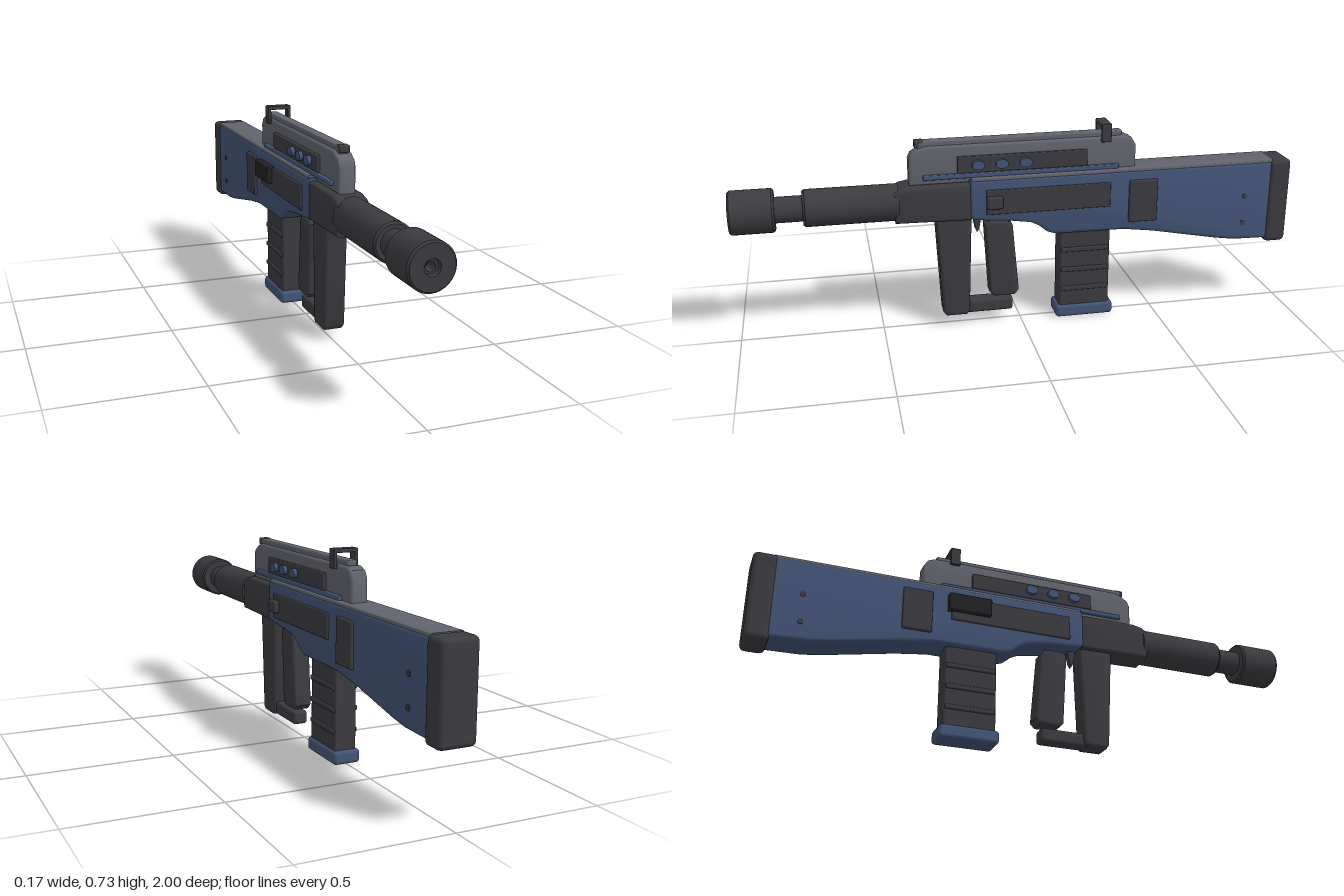
import * as THREE from 'three';
import { toCreasedNormals } from 'three/addons/utils/BufferGeometryUtils.js';
import { RoundedBoxGeometry } from 'three/addons/geometries/RoundedBoxGeometry.js';

const material = (name, color) => {
  const m = new THREE.MeshStandardMaterial({ color });
  m.name = name;
  return m;
};

export function createModel() {
  const model = new THREE.Group();
  model.name = 'rifle';
  const dark = material('charcoal', 0x3c3b40);
  const blue = material('slate blue', 0x435578);
  const grey = material('grey', 0x62646e);
  const black = material('black', 0x222225);

  const add = (name, geometry, mat) => {
    const mesh = new THREE.Mesh(geometry, mat);
    mesh.name = name;
    model.add(mesh);
    return mesh;
  };

  // Rounded box given by its limits on each axis
  const box = (name, mat, [x0, x1], [y0, y1], [z0, z1], r = 0.005) => {
    const g = new RoundedBoxGeometry(x1 - x0, y1 - y0, z1 - z0, 2, r);
    g.translate((x0 + x1) / 2, (y0 + y1) / 2, (z0 + z1) / 2);
    return add(name, g, mat);
  };

  // Side outline of [z, y] points, extruded across x with rounded edges
  const slab = (name, mat, points, half, bevel = 0.01) => {
    const shape = new THREE.Shape(points.map(([z, y]) => new THREE.Vector2(z, y)));
    const g = new THREE.ExtrudeGeometry(shape, {
      depth: 2 * (half - bevel), bevelEnabled: true, bevelThickness: bevel,
      bevelSize: bevel, bevelOffset: -bevel, bevelSegments: 3,
    });
    g.translate(0, 0, bevel - half);
    g.rotateY(-Math.PI / 2);
    return add(name, toCreasedNormals(g, 0.6), mat);
  };

  // Turned part along z from [radius, z] points
  const turned = (name, mat, points) => {
    const g = new THREE.LatheGeometry(points.map(([r, z]) => new THREE.Vector2(r, z)), 32);
    g.rotateX(Math.PI / 2);
    g.translate(0, 0.477, 0);
    return add(name, toCreasedNormals(g, 0.6), mat);
  };

  // Barrel
  turned('muzzle', dark, [[0, 0.848], [0.07, 0.848], [0.076, 0.855], [0.076, 0.993], [0.07, 1],
    [0.026, 1], [0.023, 0.985], [0.016, 0.985], [0.016, 0.94]]);
  turned('bore', black, [[0.017, 0.94], [0, 0.94]]);
  turned('barrel', dark, [[0, 0.74], [0.045, 0.74], [0.045, 0.85], [0, 0.85]]);
  turned('barrelSleeve', dark, [[0, 0.43], [0.065, 0.43], [0.065, 0.747], [0.059, 0.755], [0, 0.755]]);
  slab('handguard', dark, [[0.18, 0.408], [0.445, 0.413], [0.45, 0.52], [0.425, 0.535],
    [0.39, 0.542], [0.18, 0.542]], 0.056, 0.012);

  // Receiver and stock
  slab('body', blue, [[0.185, 0.42], [0.175, 0.408], [0.05, 0.397], [-0.03, 0.385], [-0.06, 0.37],
    [-0.09, 0.345], [-0.12, 0.335], [-0.37, 0.333], [-0.48, 0.318], [-0.73, 0.27], [-0.8, 0.26],
    [-0.93, 0.257], [-0.93, 0.553], [0.185, 0.553]], 0.06, 0.012);
  slab('stockTop', grey, [[0.18, 0.535], [-0.93, 0.535], [-0.93, 0.562], [0.18, 0.562]], 0.055, 0.006);
  box('buttPad', dark, [-0.065, 0.065], [0.242, 0.56], [-1, -0.918], 0.018);

  // Upper housing with top rail and sights
  slab('upperHousing', grey, [[0.392, 0.54], [0.392, 0.63], [0.383, 0.65], [0.355, 0.668],
    [0.33, 0.676], [-0.375, 0.676], [-0.4, 0.665], [-0.415, 0.64], [-0.415, 0.54]], 0.03, 0.009);
  box('topRail', grey, [-0.018, 0.018], [0.665, 0.693], [-0.365, 0.36]);
  box('frontSight', dark, [-0.018, 0.018], [0.67, 0.695], [0.338, 0.37]);
  box('rearSightBar', dark, [-0.044, 0.044], [0.712, 0.726], [-0.32, -0.284], 0.003);
  box('rearSightBase', dark, [-0.036, 0.036], [0.662, 0.674], [-0.315, -0.29], 0.003);

  // Fittings repeated on both sides
  const bothSides = (name, mat, x0, x1, y, z, r) => {
    box(name + 'Left', mat, [x0, x1], y, z, r);
    box(name + 'Right', mat, [-x1, -x0], y, z, r);
  };
  bothSides('rearSightPost', dark, 0.032, 0.044, [0.66, 0.724], [-0.32, -0.284], 0.003);
  bothSides('buttonPanel', dark, 0.02, 0.042, [0.578, 0.637], [-0.235, 0.226], 0.004);
  bothSides('trimStrip', blue, 0.02, 0.043, [0.56, 0.577], [-0.35, 0.345], 0.004);
  bothSides('sidePanel', dark, 0.05, 0.067, [0.428, 0.518], [-0.316, 0.13], 0.004);
  bothSides('rearPanel', dark, 0.05, 0.071, [0.364, 0.52], [-0.49, -0.385], 0.005);
  for (const side of [-1, 1]) {
    for (const z of [0.155, 0.072, -0.012]) {
      const g = new THREE.CylinderGeometry(0.022, 0.022, 0.03, 20);
      g.rotateZ(Math.PI / 2);
      g.scale(1, 0.75, 1);
      add('button', g, blue).position.set(side * 0.041, 0.608, z);
    }
    for (const y of [0.428, 0.327]) {
      const g = new THREE.CylinderGeometry(0.01, 0.01, 0.006, 16);
      g.rotateZ(Math.PI / 2);
      add('stockScrew', g, dark).position.set(side * 0.06, y, -0.827);
    }
  }
  box('chargingKnob', dark, [0.05, 0.085], [0.452, 0.497], [0.073, 0.13], 0.008);
  box('ejectionCover', black, [-0.086, -0.05], [0.457, 0.521], [-0.33, -0.175], 0.004);

  // Grips and trigger
  slab('foregrip', dark, [[0.305, 0.42], [0.286, 0.055], [0.275, 0.04], [0.2, 0.04],
    [0.19, 0.055], [0.178, 0.42]], 0.04, 0.012);
  box('gripBridge', dark, [-0.028, 0.028], [0.04, 0.09], [0.03, 0.27], 0.012);
  slab('pistolGrip', dark, [[0.13, 0.375], [0.115, 0.115], [0.1, 0.1], [0.025, 0.1], [0.008, 0.118],
    [0.03, 0.37], [0.045, 0.39], [0.115, 0.39]], 0.034, 0.012);
  slab('trigger', dark, [[0.172, 0.415], [0.163, 0.36], [0.156, 0.346], [0.148, 0.36],
    [0.138, 0.415]], 0.012, 0.003);

  // Magazine
  box('magazine', dark, [-0.04, 0.04], [0.03, 0.36], [-0.326, -0.14], 0.008);
  for (const y of [0.112, 0.187, 0.264]) {
    box('magazineRib', dark, [-0.046, 0.046], [y - 0.009, y + 0.009], [-0.322, -0.144], 0.005);
  }
  box('magazineBase', blue, [-0.049, 0.049], [0, 0.047], [-0.341, -0.128], 0.012);

  return model;
}
